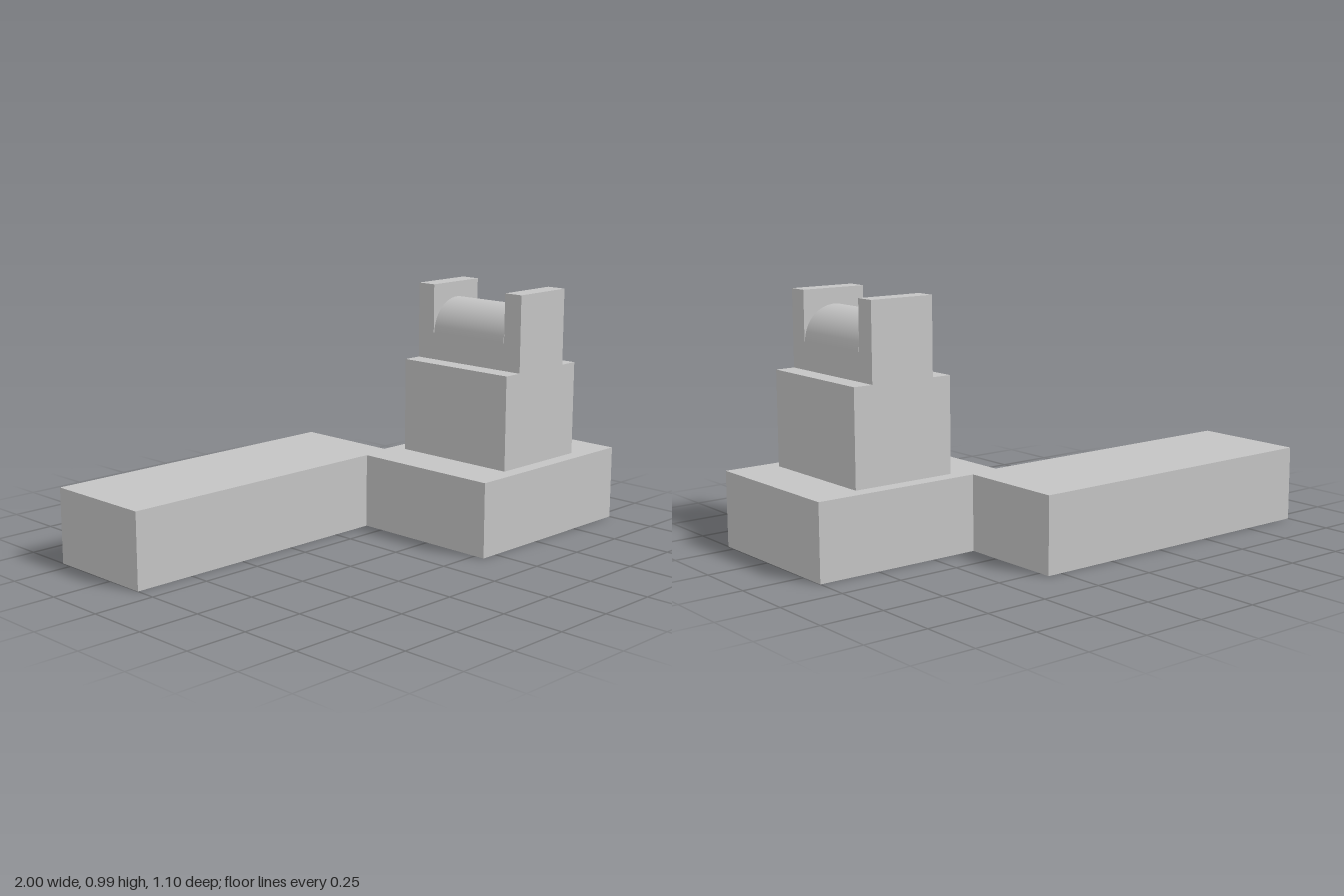
import * as THREE from 'three';

export function createModel() {
  const model = new THREE.Group();
  const grey = new THREE.MeshStandardMaterial({ color: 0xc4c4c4 });

  const add = (name, geometry) => {
    const mesh = new THREE.Mesh(geometry, grey);
    mesh.name = name;
    model.add(mesh);
    return mesh;
  };
  const outline = (points) => new THREE.Shape(points.map(([a, b]) => new THREE.Vector2(a, b)));

  // Offset base slab: long arm at the back joined to the block under the pedestal
  const plan = [
    [-1, -0.55], [0.31, -0.55], [0.31, -0.11], [1, -0.11],
    [1, 0.545], [0.18, 0.545], [0.18, -0.085], [-1, -0.085],
  ];
  const base = new THREE.ExtrudeGeometry(outline(plan.map(([x, z]) => [x, -z])), { depth: 0.3, bevelEnabled: false });
  base.rotateX(-Math.PI / 2);
  add('base', base);

  // Pedestal: wide lower part and narrower neck, stepped on both sides
  const cx = 0.585, back = -0.048, front = 0.485;
  const wide = 0.216, narrow = 0.136, floor = 0.79;
  const pedestal = new THREE.ExtrudeGeometry(outline([
    [-wide, 0.3], [wide, 0.3], [wide, 0.68], [narrow, 0.68],
    [narrow, floor], [-narrow, floor], [-narrow, 0.68], [-wide, 0.68],
  ]), { depth: front - back, bevelEnabled: false });
  pedestal.translate(cx, 0, back);
  add('pedestal', pedestal);

  // Upright cheeks at both ends of the saddle
  const cheekDepth = 0.081;
  for (const [name, z] of [['frontCheek', front - cheekDepth / 2], ['backCheek', back + cheekDepth / 2]]) {
    const cheek = new THREE.BoxGeometry(narrow * 2, 0.988 - floor, cheekDepth);
    cheek.translate(cx, (0.988 + floor) / 2, z);
    add(name, cheek);
  }

  // Half-round saddle between the cheeks, with a hairline gap at each end
  const saddleBack = 0.037, saddleFront = 0.4;
  const saddle = new THREE.CylinderGeometry(narrow, narrow, saddleFront - saddleBack, 64, 1, false, Math.PI / 2, Math.PI);
  saddle.rotateX(Math.PI / 2);
  saddle.translate(cx, floor, (saddleBack + saddleFront) / 2);
  add('saddle', saddle);

  return model;
}
